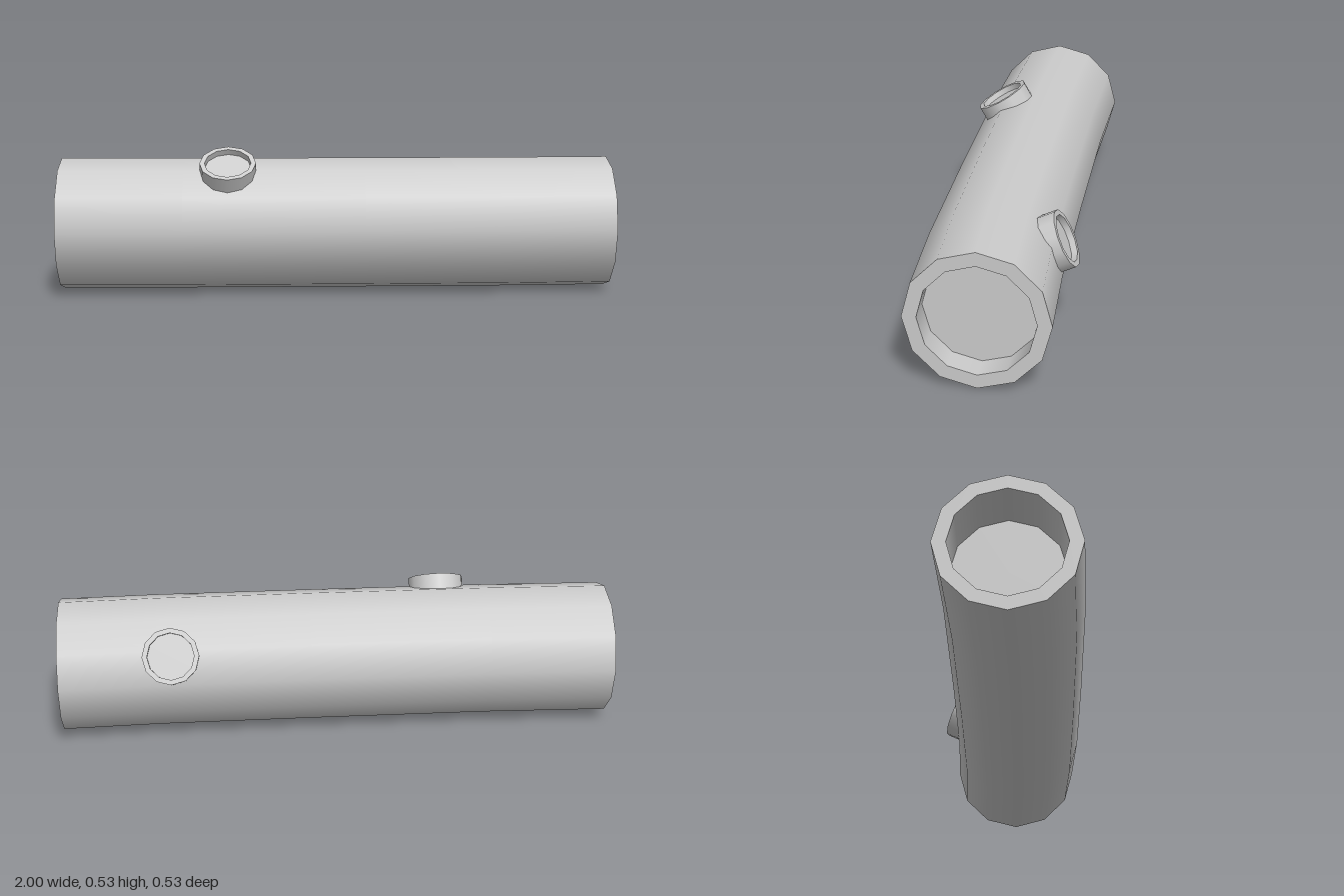
import * as THREE from 'three';

const SIDES = 12;
const wood = new THREE.MeshStandardMaterial({ color: 0xcccccc });
const woodInside = new THREE.MeshStandardMaterial({ color: 0xcccccc, side: THREE.BackSide });

function part(name, geometry, material = wood) {
  const mesh = new THREE.Mesh(geometry, material);
  mesh.name = name;
  return mesh;
}

// Cut end facing +y with its rim at y = 0: flat rim, inner wall and sunken face
function cutEnd(name, outer, inner, depth) {
  const end = new THREE.Group();
  end.name = name;
  end.add(
    part('rim', new THREE.RingGeometry(inner, outer, SIDES).rotateX(-Math.PI / 2)),
    part('innerWall', new THREE.CylinderGeometry(inner, inner, depth, SIDES, 1, true)
      .translate(0, -depth / 2, 0), woodInside),
    part('sunkenFace', new THREE.CircleGeometry(inner, SIDES)
      .rotateX(-Math.PI / 2).translate(0, -depth, 0))
  );
  return end;
}

// Trunk wall along x, bowed slightly towards the front
function trunkWall(radius) {
  const rings = [[1, 0.01], [0.65, 0.024], [0.1, 0.027], [-0.55, 0.025], [-1, 0.01]];
  const geo = new THREE.CylinderGeometry(radius, radius, 2, SIDES, rings.length - 1, true);
  geo.rotateZ(-Math.PI / 2);
  const pos = geo.attributes.position;
  for (let i = 0; i < pos.count; i++) {
    const [x, z] = rings[Math.floor(i / (SIDES + 1))];
    pos.setX(i, x);
    pos.setZ(i, pos.getZ(i) + z);
  }
  return geo;
}

// Short branch stump; tilt is the angle from straight up towards +z
function branch(name, x, z, tilt) {
  const reach = 0.272, length = 0.08, radius = 0.101;
  const stump = new THREE.Group();
  stump.name = name;
  const wall = part('stumpWall',
    new THREE.CylinderGeometry(radius, radius, length, SIDES, 1, true));
  wall.position.y = reach - length / 2;
  const end = cutEnd('stumpEnd', radius, 0.083, 0.022);
  end.position.y = reach;
  stump.add(wall, end);
  stump.position.set(x, 0, z);
  stump.rotation.x = tilt;
  return stump;
}

export function createModel() {
  const model = new THREE.Group();
  model.name = 'hollowLog';
  const log = new THREE.Group();
  log.name = 'log';
  log.position.y = 0.24;
  model.add(log);

  log.add(part('trunk', trunkWall(0.24)));

  // Ends: shallow on the left, deeper on the right
  for (const [name, side, depth] of [['leftEnd', 1, 0.09], ['rightEnd', -1, 0.2]]) {
    const end = cutEnd(name, 0.24, 0.192, depth);
    end.rotation.z = -side * Math.PI / 2;
    end.position.set(side, 0, 0.01);
    log.add(end);
  }

  log.add(
    branch('frontBranch', -0.39, 0.022, THREE.MathUtils.degToRad(30)),
    branch('backBranch', 0.6, 0.024, THREE.MathUtils.degToRad(-65))
  );
  return model;
}
